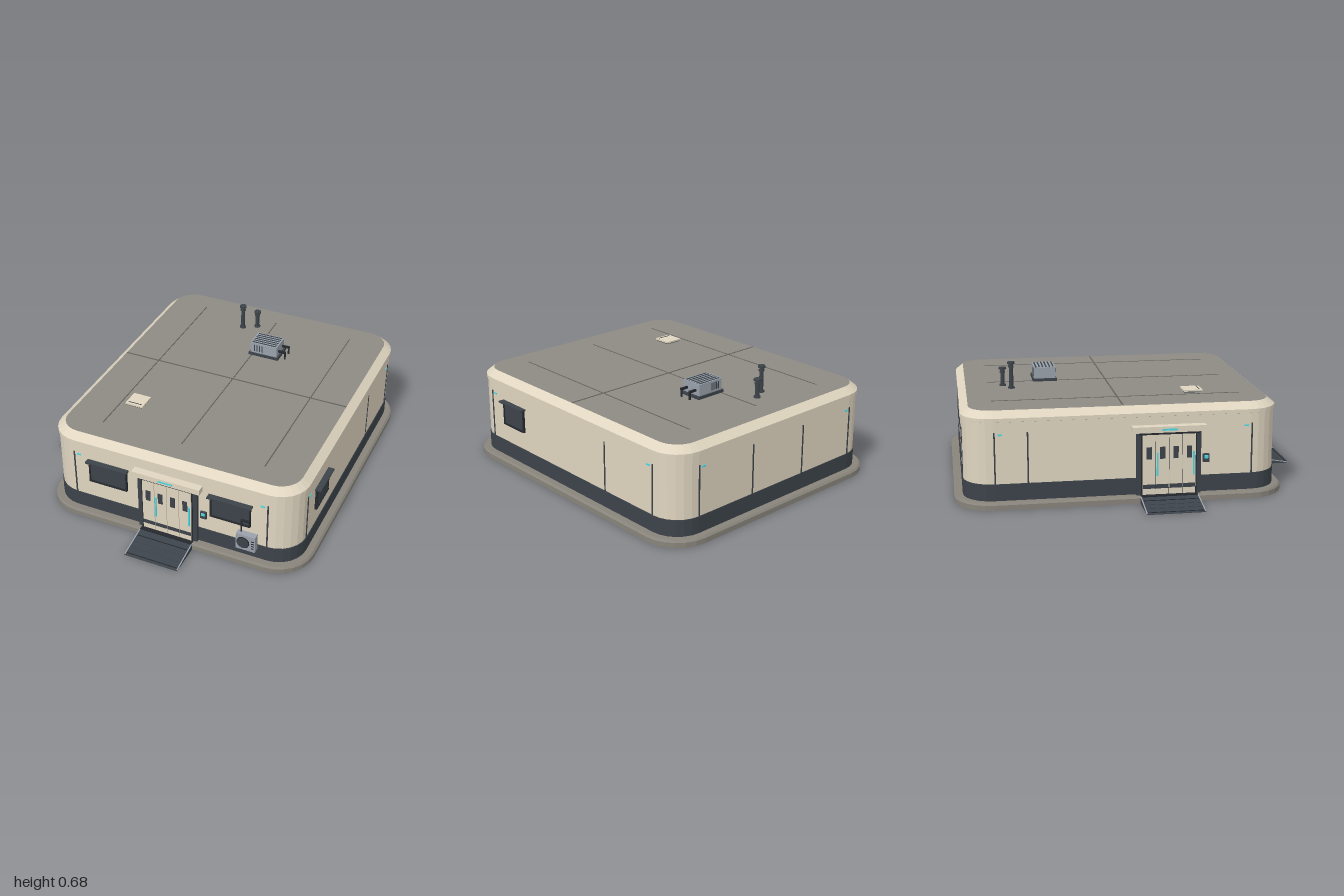
import * as THREE from 'three';

const mat = (name, color) => {
  const m = new THREE.MeshStandardMaterial({ color });
  m.name = name;
  return m;
};

export function createModel() {
  const beige = mat('beige panel', 0xdfd5c0), dark = mat('dark slate', 0x3c434a);
  const stone = mat('plinth stone', 0x88847b), roofGrey = mat('roof grey', 0x8e8b84);
  const black = mat('near black', 0x25292e), metal = mat('light metal', 0x9aa1ab);
  const cyan = mat('cyan light', 0x48dbe6), seamGrey = mat('roof seam', 0x65635e);
  const CX = 0.095, CZ = -0.095;
  const model = new THREE.Group();
  model.name = 'prefabBuilding';

  const add = (parent, name, geo, material, x = 0, y = 0, z = 0) => {
    const mesh = new THREE.Mesh(geo, material);
    mesh.name = name;
    mesh.position.set(x, y, z);
    parent.add(mesh);
    return mesh;
  };
  // box given by its min and max on each axis
  const box = (parent, name, material, x0, x1, y0, y1, z0, z1) =>
    add(parent, name, new THREE.BoxGeometry(x1 - x0, y1 - y0, z1 - z0), material,
      (x0 + x1) / 2, (y0 + y1) / 2, (z0 + z1) / 2);
  const group = (name, x = 0, y = 0, z = 0, turn = 0) => {
    const g = new THREE.Group();
    g.name = name;
    g.position.set(x, y, z);
    g.rotation.y = turn;
    model.add(g);
    return g;
  };

  // faceted shell: rounded rectangle outline lofted through [inset, y] levels
  const shell = (name, material, profile, capTop = false, capBottom = false) => {
    const SEG = 6, R = 0.21, pos = [], index = [];
    const n = 4 * (SEG + 1);
    for (const [inset, y] of profile) {
      const r = R - inset;
      for (let c = 0; c < 4; c++) {
        const sx = c === 0 || c === 3 ? 1 : -1, sz = c < 2 ? 1 : -1;
        for (let s = 0; s <= SEG; s++) {
          const a = (c + s / SEG) * Math.PI / 2;
          pos.push(sx * (0.7825 - R) + r * Math.cos(a), y, sz * (0.905 - R) + r * Math.sin(a));
        }
      }
    }
    for (let k = 0; k < profile.length - 1; k++) {
      for (let i = 0; i < n; i++) {
        const a = k * n + i, b = k * n + (i + 1) % n;
        index.push(a, a + n, b + n, a, b + n, b);
      }
    }
    const cap = (k, up) => {
      const centre = pos.length / 3;
      pos.push(0, profile[k][1], 0);
      for (let i = 0; i < n; i++) {
        const a = k * n + i, b = k * n + (i + 1) % n;
        index.push(centre, up ? b : a, up ? a : b);
      }
    };
    if (capTop) cap(profile.length - 1, true);
    if (capBottom) cap(0, false);
    const geo = new THREE.BufferGeometry();
    geo.setAttribute('position', new THREE.Float32BufferAttribute(pos, 3));
    geo.setIndex(index);
    const flat = geo.toNonIndexed();
    flat.computeVertexNormals();
    return add(model, name, flat, material, CX, 0, CZ);
  };

  // main body: plinth rim around a recessed floor, then walls, cornice and roof
  shell('plinth', stone, [[0.05, 0.03], [0.05, 0], [0, 0], [0, 0.028], [0.01, 0.038], [0.06, 0.038]]);
  shell('floor', roofGrey, [[0.049, 0.03], [0.049, 0.034]], false, true);
  shell('wallBase', dark, [[0.046, 0.035], [0.046, 0.13], [0.055, 0.13]]);
  shell('wall', beige, [[0.05, 0.13], [0.05, 0.465]]);
  shell('cornice', beige, [[0.05, 0.465], [0.044, 0.467], [0.044, 0.487], [0.088, 0.522]]);
  shell('roof', roofGrey, [[0.087, 0.518], [0.088, 0.522]], true);

  // roof seams
  for (const x of [-0.48, 0, 0.48])
    box(model, 'roofSeam', seamGrey, CX + x - 0.003, CX + x + 0.003, 0.518, 0.524, -0.785, 0.595);
  box(model, 'roofCrossSeam', seamGrey, -0.598, 0.788, 0.518, 0.524, CZ - 0.004, CZ + 0.004);

  // vertical wall joints and small marker lights, in each wall's own frame
  const walls = [
    ['front', 0, 0, 0.76, 0, [-0.48, 0.665], [-0.45, 0.635]],
    ['back', 0, 0, -0.95, Math.PI, [-0.665, -0.283, 0.098, 0.48], [-0.635, 0.45]],
    ['leftSide', 0.8275, 0, 0, Math.PI / 2, [-0.605, 0.41, 0.785], [-0.575, 0.755]],
    ['rightSide', -0.6375, 0, 0, -Math.PI / 2, [-0.785, -0.61, 0.605], [-0.755, 0.575]],
  ];
  for (const [name, x, y, z, turn, joints, lights] of walls) {
    const g = group(name + 'WallDetails', x, y, z, turn);
    for (const j of joints) box(g, 'wallJoint', dark, j - 0.004, j + 0.004, 0.13, 0.41, -0.006, 0.003);
    for (const l of lights) box(g, 'markerLight', cyan, l - 0.012, l + 0.012, 0.393, 0.402, -0.006, 0.004);
  }

  // window with frame, sill and awning, facing +z
  const addWindow = (x, z, turn, w) => {
    const g = group('window', x, 0, z, turn), h = w / 2;
    box(g, 'windowPane', dark, -h + 0.004, h - 0.004, 0.245, 0.37, -0.01, 0.007);
    for (const s of [-1, 1]) box(g, 'windowJamb', black, s * h - 0.004, s * h + 0.004, 0.238, 0.372, -0.01, 0.012);
    box(g, 'windowSill', black, -h - 0.004, h + 0.004, 0.238, 0.247, -0.01, 0.014);
    box(g, 'windowLintel', black, -h - 0.004, h + 0.004, 0.364, 0.372, -0.01, 0.012);
    box(g, 'awning', dark, -h - 0.013, h + 0.013, 0.371, 0.381, -0.01, 0.034);
  };
  addWindow(-0.272, 0.76, 0, 0.225);
  addWindow(0.455, 0.76, 0, 0.225);
  addWindow(0.8275, 0.393, Math.PI / 2, 0.185);

  // entrance with four door leaves, canopy, keypad and ramp, facing +z
  const addEntrance = (name, x, z, turn) => {
    const g = group(name, x, 0, z, turn);
    for (const s of [-1, 1]) box(g, 'doorPost', dark, s * 0.164 - 0.012, s * 0.164 + 0.012, 0.036, 0.387, -0.01, 0.022);
    box(g, 'doorHeader', black, -0.165, 0.165, 0.374, 0.388, -0.01, 0.034);
    box(g, 'canopy', beige, -0.2, 0.2, 0.387, 0.42, -0.01, 0.045);
    box(g, 'canopyLight', cyan, -0.042, 0.042, 0.398, 0.408, 0.04, 0.047);
    box(g, 'threshold', black, -0.155, 0.155, 0.002, 0.042, 0.005, 0.054);
    box(g, 'doorBack', black, -0.152, 0.152, 0.04, 0.375, -0.01, 0.024);
    for (let i = 0; i < 4; i++) {
      const px = -0.1095 + i * 0.073;
      box(g, 'doorLeaf', beige, px - 0.035, px + 0.035, 0.042, 0.374, 0, 0.03);
      box(g, 'doorWindow', dark, px - 0.014, px + 0.014, 0.24, 0.306, 0.026, 0.033);
      box(g, 'kickPlate', dark, px - 0.034, px + 0.034, 0.075, 0.098, 0.026, 0.032);
    }
    for (const hx of [-0.064, 0.134]) box(g, 'doorHandle', cyan, hx - 0.004, hx + 0.004, 0.145, 0.275, 0.028, 0.036);
    box(g, 'keypad', dark, 0.19, 0.225, 0.205, 0.25, -0.01, 0.012);
    box(g, 'keypadScreen', cyan, 0.197, 0.218, 0.226, 0.243, 0.01, 0.015);

    // sloping ramp with thin edge strips and grip ribs
    const wedge = new THREE.Shape([[-0.04, 0.038], [-0.24, 0.003], [-0.24, 0], [-0.04, 0]].map((p) => new THREE.Vector2(...p)));
    const rampGeo = new THREE.ExtrudeGeometry(wedge, { depth: 0.316, bevelEnabled: false });
    add(g, 'ramp', rampGeo.rotateY(Math.PI / 2), dark, -0.158, 0, 0);
    const onSlope = (partName, material, w, depth, px, t) => {
      const part = add(g, partName, new THREE.BoxGeometry(w, 0.004, depth), material, px, 0.038 - (t - 0.04) * 0.175, t);
      part.rotation.x = 0.173;
    };
    for (const s of [-1, 1]) onSlope('rampEdge', metal, 0.006, 0.195, s * 0.156, 0.14);
    for (let i = 0; i < 4; i++) onSlope('gripRib', i % 3 ? dark : black, 0.3, 0.005, 0, 0.095 + i * 0.043);
  };
  addEntrance('frontEntrance', 0.093, 0.76, 0);
  addEntrance('sideEntrance', -0.64, 0.143, -Math.PI / 2);

  const rod = (parent, name, material, r, h, x, y, z, sides = 12) =>
    add(parent, name, new THREE.CylinderGeometry(r, r, h, sides), material, x, y, z);

  // wall mounted cooling unit
  const ac = group('wallCoolingUnit', 0, 0, 0.76);
  box(ac, 'unitCase', metal, 0.505, 0.615, 0.105, 0.205, 0.008, 0.045);
  box(ac, 'unitBracket', dark, 0.515, 0.605, 0.098, 0.106, -0.01, 0.04);
  rod(ac, 'fanRing', black, 0.036, 0.006, 0.547, 0.155, 0.045, 20).rotation.x = Math.PI / 2;
  rod(ac, 'fanFace', dark, 0.032, 0.006, 0.547, 0.155, 0.047, 20).rotation.x = Math.PI / 2;
  for (let i = 0; i < 4; i++)
    box(ac, 'unitVent', black, 0.593, 0.609, 0.126 + i * 0.016, 0.131 + i * 0.016, 0.04, 0.047);
  rod(ac, 'unitPipe', black, 0.005, 0.08, 0.525, 0.24, 0.018, 8);
  box(ac, 'pipeElbow', black, 0.52, 0.57, 0.275, 0.284, 0.01, 0.022);

  // roof ventilation unit
  const vent = group('roofVentUnit');
  box(vent, 'ventBase', dark, 0.075, 0.262, 0.52, 0.538, -0.52, -0.38);
  box(vent, 'ventCase', metal, 0.083, 0.25, 0.538, 0.603, -0.512, -0.388);
  for (let i = 0; i < 6; i++) {
    const z = -0.5 + i * 0.02;
    box(vent, 'topSlat', dark, 0.092, 0.242, 0.6, 0.605, z - 0.004, z + 0.004);
  }
  for (let i = 0; i < 4; i++) {
    const x = 0.11 + i * 0.016;
    for (const z of [-0.512, -0.388]) box(vent, 'sideSlot', dark, x - 0.003, x + 0.003, 0.55, 0.592, z - 0.003, z + 0.003);
  }
  for (const z of [-0.482, -0.418]) {
    box(vent, 'ventPipe', black, 0.248, 0.298, 0.56, 0.572, z - 0.006, z + 0.006);
    rod(vent, 'ventPipeDrop', black, 0.006, 0.05, 0.293, 0.546, z, 8);
  }

  // roof flues
  for (const [x, z, top] of [[-0.078, -0.655, 0.675], [0, -0.7, 0.63]]) {
    const flue = group('flue', x, 0, z);
    rod(flue, 'fluePipe', dark, 0.012, top - 0.52, 0, (top + 0.52) / 2, 0);
    rod(flue, 'flueFoot', dark, 0.019, 0.01, 0, 0.526, 0);
    rod(flue, 'flueCollar', dark, 0.016, 0.008, 0, top - 0.028, 0);
    rod(flue, 'flueCap', dark, 0.021, 0.012, 0, top - 0.006, 0);
  }

  // roof hatch
  box(model, 'hatchCurb', dark, -0.347, -0.247, 0.52, 0.528, 0.292, 0.39);
  box(model, 'hatchLid', beige, -0.35, -0.244, 0.527, 0.537, 0.288, 0.394);
  box(model, 'hatchHandle', dark, -0.34, -0.254, 0.535, 0.539, 0.376, 0.38);

  return model;
}
